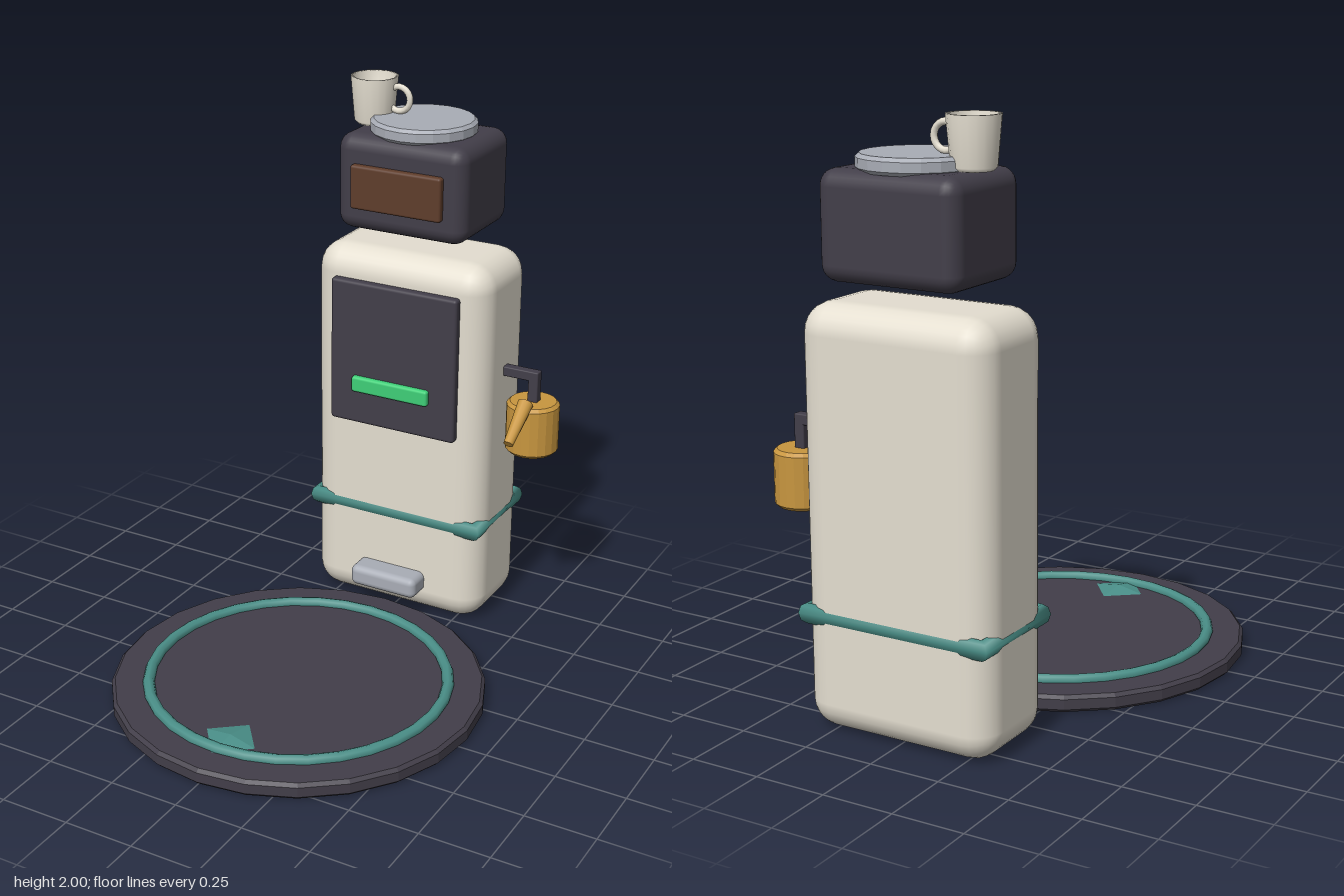
import * as THREE from 'three';
import { RoundedBoxGeometry } from 'three/addons/geometries/RoundedBoxGeometry.js';

const mat = (color, extra = {}) => new THREE.MeshStandardMaterial({ color, ...extra });

export function createModel() {
  const model = new THREE.Group();
  const cream = mat(0xe4ded0), dark = mat(0x423e49), teal = mat(0x4a8f88);
  const gold = mat(0xc8963f), brown = mat(0x5f3d2b), grey = mat(0xa9adb6), green = mat(0x3fcf78);
  const centreZ = -0.685;

  function add(name, geometry, material, x = 0, y = 0, z = 0) {
    const mesh = new THREE.Mesh(geometry, material);
    mesh.name = name;
    mesh.position.set(x, y, z);
    model.add(mesh);
    return mesh;
  }

  // Rounded box given by its extents
  function box(name, material, [x0, x1], [y0, y1], [z0, z1], radius) {
    const g = new RoundedBoxGeometry(x1 - x0, y1 - y0, z1 - z0, 3, radius);
    return add(name, g, material, (x0 + x1) / 2, (y0 + y1) / 2, (z0 + z1) / 2);
  }

  // Disc with bevelled rim, standing on y = 0
  function disc(radius, height, bevel, sides) {
    const points = [
      [0, 0], [radius - bevel, 0], [radius, bevel],
      [radius, height - bevel], [radius - bevel, height], [0, height],
    ].map(([x, y]) => new THREE.Vector2(x, y));
    const g = new THREE.LatheGeometry(points, sides).toNonIndexed();
    g.computeVertexNormals();
    return g;
  }

  // Body, front panel and foot
  box('body', cream, [-0.35, 0.35], [0, 1.41], [-0.88, -0.49], 0.1);
  box('frontPanel', dark, [-0.253, 0.253], [0.75, 1.3], [-0.51, -0.46], 0.012);
  box('statusBar', green, [-0.157, 0.152], [0.88, 0.94], [-0.48, -0.44], 0.01);
  box('foot', grey, [-0.137, 0.135], [0.1, 0.18], [-0.52, -0.402], 0.025);

  // Square band around the body
  const band = new THREE.TorusGeometry(0.465, 0.035, 8, 4);
  band.rotateZ(Math.PI / 4).rotateX(Math.PI / 2).scale(1, 1, 0.56);
  add('band', band, teal, 0, 0.395, centreZ);

  // Floating head with screen and lid
  box('head', dark, [-0.253, 0.253], [1.48, 1.83], [-0.88, -0.49], 0.055);
  box('screen', brown, [-0.18, 0.176], [1.57, 1.73], [-0.51, -0.465], 0.01);
  add('lid', disc(0.192, 0.055, 0.012, 20), grey, 0, 1.82, centreZ);

  // Mug: open cup with thin wall, and a ring handle
  const mug = new THREE.Group();
  mug.name = 'mug';
  mug.position.set(-0.2, 1.83, centreZ);
  const cupProfile = [[0, 0], [0.06, 0], [0.072, 0.012], [0.086, 0.17], [0.076, 0.17], [0.063, 0.02], [0, 0.02]]
    .map(([x, y]) => new THREE.Vector2(x, y));
  const cup = new THREE.Mesh(new THREE.LatheGeometry(cupProfile, 20), mat(0xe4ded0, { side: THREE.DoubleSide }));
  cup.name = 'cup';
  const handle = new THREE.Mesh(new THREE.TorusGeometry(0.044, 0.012, 8, 20), cream);
  handle.name = 'mugHandle';
  handle.position.set(0.098, 0.097, 0);
  mug.add(cup, handle);
  model.add(mug);

  // Side arm with a hanging can
  box('arm', dark, [0.33, 0.485], [0.963, 1.0], [-0.705, -0.668], 0.005);
  box('armHook', dark, [0.447, 0.485], [0.87, 1.0], [-0.705, -0.668], 0.005);
  add('can', disc(0.097, 0.195, 0.012, 20), gold, 0.465, 0.69, centreZ);

  // Spout, wide at the can and narrow at the lower tip
  const from = new THREE.Vector3(0.465, 0.9, -0.615);
  const to = new THREE.Vector3(0.465, 0.793, -0.475);
  const axis = to.clone().sub(from);
  const spout = add('spout', new THREE.CylinderGeometry(0.018, 0.029, axis.length(), 12), gold);
  spout.position.copy(from).add(to).multiplyScalar(0.5);
  spout.quaternion.setFromUnitVectors(new THREE.Vector3(0, 1, 0), axis.normalize());

  // Floor disc with inlaid ring and pointer
  const floorZ = 0.215;
  add('floorDisc', disc(0.66, 0.06, 0.012, 24), dark, 0, 0, floorZ);
  const ring = new THREE.TorusGeometry(0.528, 0.021, 8, 32).rotateX(Math.PI / 2);
  add('floorRing', ring, teal, 0, 0.064, floorZ);
  const pointer = new THREE.ConeGeometry(0.12, 0.02, 4).toNonIndexed();
  pointer.computeVertexNormals();
  add('pointer', pointer, teal, 0, 0.067, 0.665).rotation.y = -0.11;

  return model;
}
